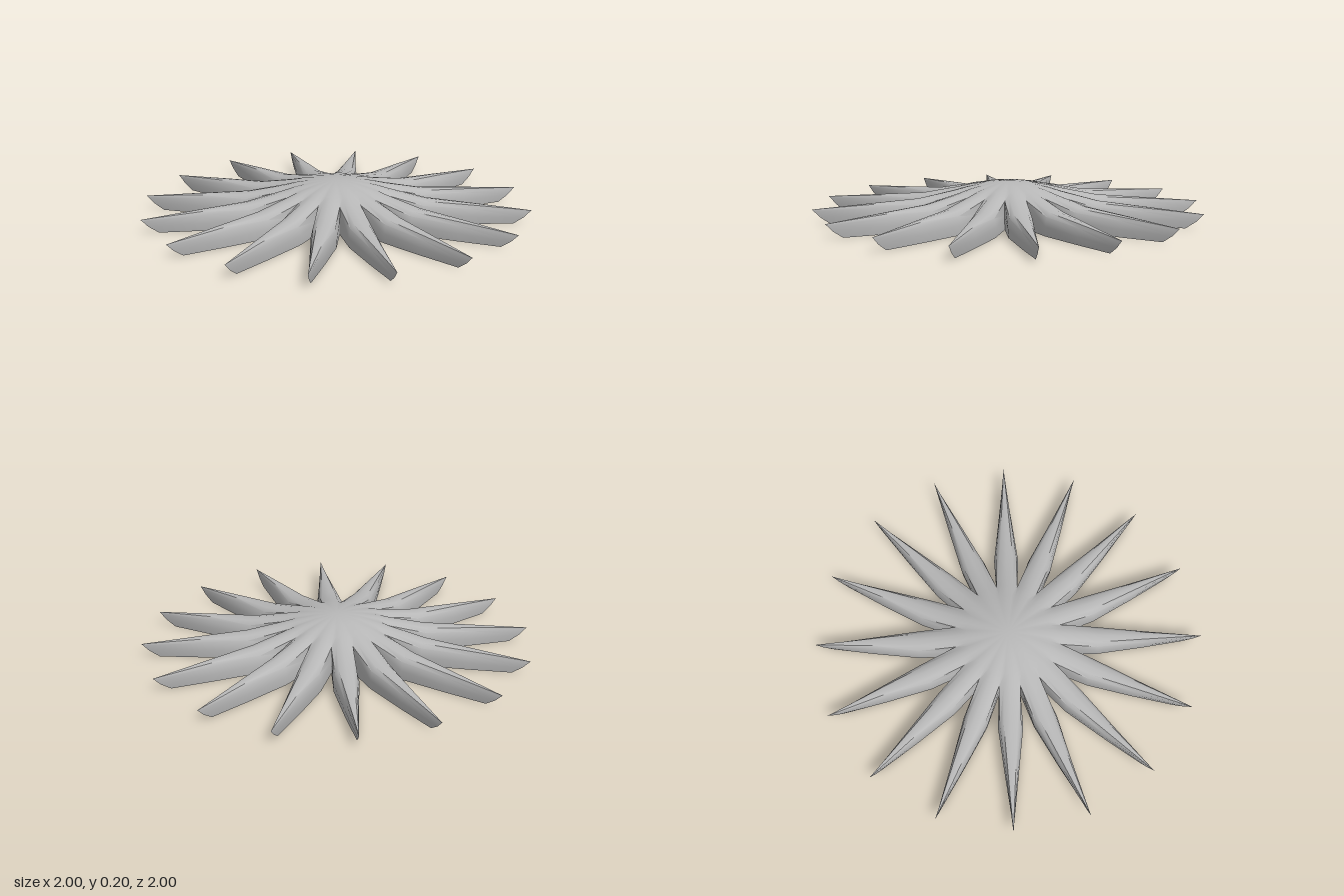
import * as THREE from 'three';
import { mergeGeometries, toCreasedNormals } from 'three/addons/utils/BufferGeometryUtils.js';

const ARMS = 16;
const SLOPE = Math.tan(Math.PI / ARMS);

// Half cross-section inside the hub: only a top skin, reaching the sector border
const hubRow = (u, ridge, shoulder, edge) => {
  const e = [u, edge, u * SLOPE];
  return [[u, ridge, 0], [u, shoulder, u * SLOPE * 0.55], e, e, e];
};
// Half cross-section of a ray: ridge, shoulder, edge, wall, rim as [height, half width]
const armRow = (u, ...pts) => pts.map(([y, w]) => [u, y, w]);

const V = 0.27; // distance at which neighbouring rays separate
const rows = [
  hubRow(0, 0.205, 0.205, 0.205),
  hubRow(0.12, 0.191, 0.191, 0.19),
  hubRow(0.21, 0.175, 0.173, 0.168),
  hubRow(V, 0.16, 0.156, 0.143),
  armRow(V, [0.16, 0], [0.156, V * SLOPE * 0.55], [0.143, V * SLOPE], [0.07, V * SLOPE], [0, V * SLOPE]),
  armRow(0.46, [0.12, 0], [0.113, 0.035], [0.094, 0.054], [0.05, 0.064], [0, 0.06]),
  armRow(0.7, [0.1, 0], [0.097, 0.019], [0.08, 0.03], [0.04, 0.035], [0, 0.031]),
  // slanted, keel-like tip
  [[1, 0.075, 0], [1, 0.075, 0], [0.99, 0.066, 0], [0.962, 0.036, 0], [0.91, 0, 0]],
];

// One ray with its slice of the hub, mirrored about its ridge
function rayGeometry() {
  const full = rows.map((half) => [
    ...half.slice(1).reverse(),
    ...half.map(([u, y, w]) => [u, y, -w]),
  ].map((p) => new THREE.Vector3(...p)));
  const out = [];
  const tri = (a, b, c) => {
    if (new THREE.Triangle(a, b, c).getArea() < 1e-7) return;
    for (const p of [a, b, c]) out.push(p.x, p.y, p.z);
  };
  for (let i = 0; i < full.length - 1; i++) {
    for (let j = 0; j < full[i].length - 1; j++) {
      const a = full[i][j], b = full[i + 1][j], c = full[i + 1][j + 1], d = full[i][j + 1];
      tri(a, b, d);
      tri(b, c, d);
    }
  }
  const geo = new THREE.BufferGeometry();
  geo.setAttribute('position', new THREE.Float32BufferAttribute(out, 3));
  return geo;
}

export function createModel() {
  const group = new THREE.Group();
  group.name = 'starburst';
  const grey = new THREE.MeshStandardMaterial({ color: 0xb8b8b8, side: THREE.DoubleSide });
  grey.name = 'grey';

  // Hollow shell open underneath: the ray repeated around the centre
  const ray = rayGeometry();
  const rays = [];
  for (let k = 0; k < ARMS; k++) rays.push(ray.clone().rotateY((k * 2 * Math.PI) / ARMS));
  const shell = new THREE.Mesh(toCreasedNormals(mergeGeometries(rays), 0.75), grey);
  shell.name = 'starShell';
  group.add(shell);
  return group;
}
